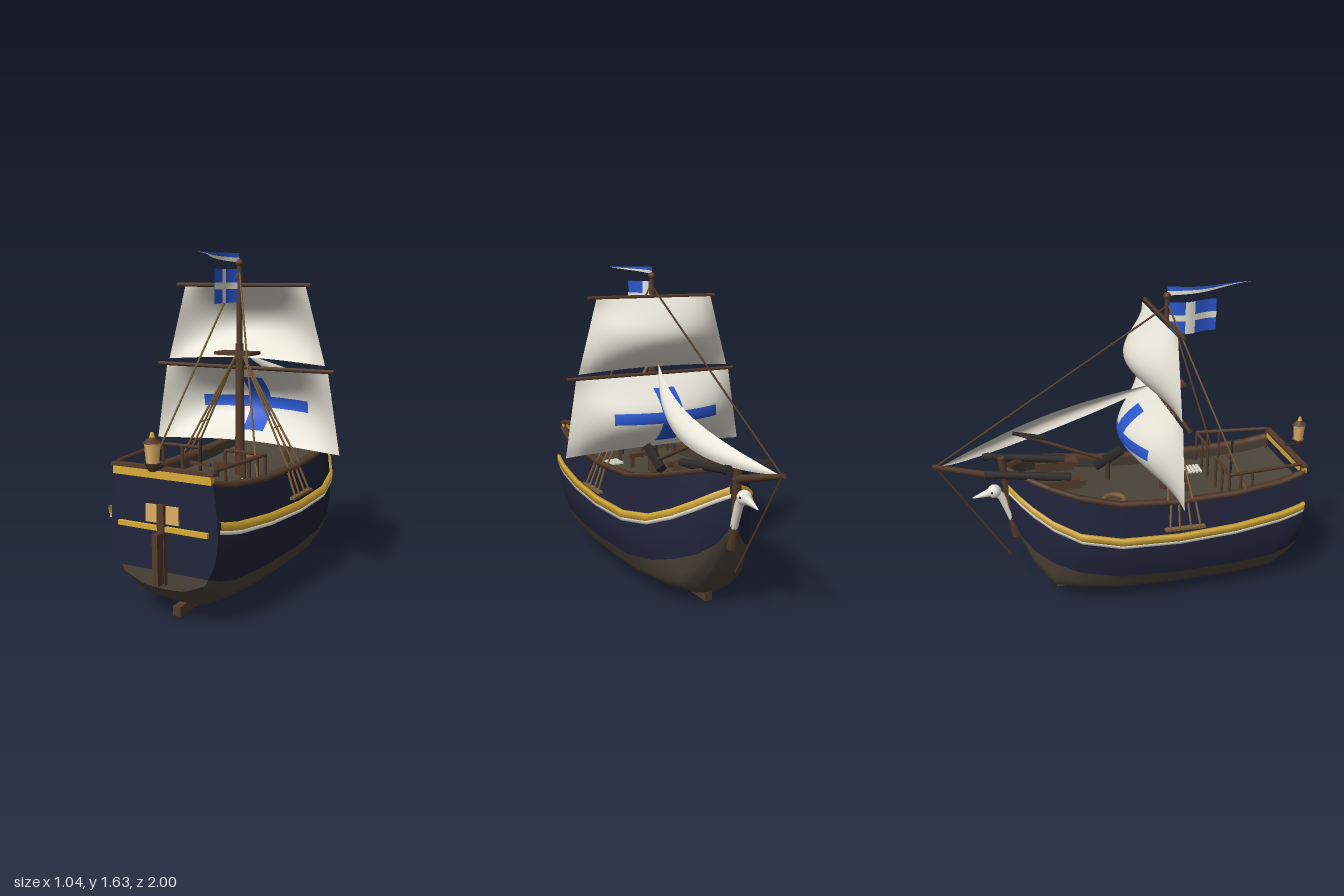
import * as THREE from 'three';

const mat = (name, color) => {
  const m = new THREE.MeshStandardMaterial({ color, side: THREE.DoubleSide });
  m.name = name;
  return m;
};
const M = {
  navy: mat('navy paint', 0x22243c), tar: mat('tarred planks', 0x4c443a), wood: mat('dark wood', 0x543b2b),
  rope: mat('rope', 0x7d5f3a), gold: mat('gold trim', 0xd9ac35), sail: mat('sailcloth', 0xe6e2d6),
  blue: mat('blue cloth', 0x2b58d0), lamp: mat('lamp glass', 0xdfae66), iron: mat('iron', 0x2d2b2a),
};

// Hull stations from stern to bow: z, keel y, sheer y, half breadth, waterline y, wale y
const ST = [
  [0.895, 0.16, 0.665, 0.275, 0.24, 0.485], [0.84, 0.10, 0.65, 0.285, 0.22, 0.47], [0.75, 0.05, 0.63, 0.298, 0.2, 0.452],
  [0.5, 0.04, 0.607, 0.322, 0.19, 0.428], [0.2, 0.04, 0.60, 0.332, 0.19, 0.415], [-0.1, 0.04, 0.615, 0.324, 0.20, 0.42],
  [-0.3, 0.045, 0.655, 0.285, 0.23, 0.452], [-0.43, 0.06, 0.69, 0.222, 0.27, 0.505], [-0.52, 0.19, 0.715, 0.152, 0.31, 0.558],
  [-0.58, 0.33, 0.73, 0.09, 0.37, 0.6], [-0.63, 0.45, 0.74, 0.015, 0.47, 0.635],
];
// Cross-section: height fraction, breadth fraction
const SEC = [[0, 0], [0.012, 0.38], [0.1, 0.76], [0.28, 0.93], [0.46, 1], [0.64, 1], [1, 0.92]];

function lookup(table, key, col, dir) {
  for (let i = 1; i < table.length; i++) {
    const a = table[i - 1], b = table[i];
    if ((b[0] - key) * dir >= 0 || i === table.length - 1) {
      const t = THREE.MathUtils.clamp((key - a[0]) / (b[0] - a[0]), 0, 1);
      return a[col] + (b[col] - a[col]) * t;
    }
  }
}
const at = (z, col) => lookup(ST, z, col, -1);
const half = (z, y) => at(z, 3) * lookup(SEC, (y - at(z, 1)) / (at(z, 2) - at(z, 1)), 1, 1);
const zAt = (u) => { // even steps through the stations
  const k = Math.min(u * (ST.length - 1), ST.length - 1.000001), i = Math.floor(k);
  return ST[i][0] + (ST[i + 1][0] - ST[i][0]) * (k - i);
};

export function createModel() {
  const ship = new THREE.Group();
  ship.name = 'sailingShip';
  const V = (x, y, z) => new THREE.Vector3(x, y, z);
  const add = (name, geo, m, x = 0, y = 0, z = 0) => {
    const mesh = new THREE.Mesh(geo, m);
    mesh.name = name;
    mesh.position.set(x, y, z);
    ship.add(mesh);
    return mesh;
  };
  const box = (name, m, w, h, d, x, y, z) => add(name, new THREE.BoxGeometry(w, h, d), m, x, y, z);
  const rod = (name, m, a, b, r0, r1 = r0, sides = 8) => {
    const d = b.clone().sub(a);
    const mesh = add(name, new THREE.CylinderGeometry(r1, r0, d.length(), sides), m);
    mesh.position.copy(a).addScaledVector(d, 0.5);
    mesh.quaternion.setFromUnitVectors(V(0, 1, 0), d.normalize());
    return mesh;
  };
  // Grid surface from f(u, v) with u and v in 0..1
  const surf = (name, m, nu, nv, f) => {
    const p = [], idx = [];
    for (let i = 0; i <= nu; i++) for (let j = 0; j <= nv; j++) p.push(...f(i / nu, j / nv));
    for (let i = 0; i < nu; i++) for (let j = 0; j < nv; j++) {
      const a = i * (nv + 1) + j, b = a + nv + 1;
      idx.push(a, b, a + 1, b, b + 1, a + 1);
    }
    const g = new THREE.BufferGeometry();
    g.setAttribute('position', new THREE.Float32BufferAttribute(p, 3));
    g.setIndex(idx);
    g.computeVertexNormals();
    return add(name, g, m);
  };
  const lerp = THREE.MathUtils.lerp, bump = (t) => Math.sin(Math.PI * t);

  // Hull
  surf('lowerHull', M.tar, 30, 16, (u, v) => {
    const z = zAt(u), s = v * 2 - 1, y = lerp(at(z, 1), at(z, 4), s * s);
    return [Math.sign(s) * half(z, y), y, z];
  });
  const zS = 0.895;
  for (const [name, m, c0, c1] of [['lowerTransom', M.tar, 1, 4], ['upperTransom', M.navy, 4, 2]])
    surf(name, m, 8, 2, (u, v) => {
      const y = lerp(at(zS, c0), at(zS, c1), u);
      return [(v * 2 - 1) * half(zS, y), y, zS];
    });
  const deckY = (z) => at(z, 2) - 0.07;
  surf('deck', M.tar, 30, 2, (u, v) => {
    const z = zAt(u), y = deckY(z);
    return [(v * 2 - 1) * half(z, y), y, z];
  });
  box('keel', M.wood, 0.04, 0.045, 1.2, 0, 0.0225, 0.2);
  for (const s of [1, -1]) {
    surf('hullSide', M.navy, 30, 8, (u, v) => {
      const z = zAt(u), y = lerp(at(z, 4), at(z, 2), v);
      return [s * half(z, y), y, z];
    });
    surf('innerBulwark', M.tar, 30, 1, (u, v) => {
      const z = zAt(u), y = lerp(deckY(z), at(z, 2), v);
      return [s * Math.max(half(z, y) - 0.008, 0), y, z];
    });
    // Strips running along the side: inner and outer offsets, centre and half height
    const strip = (name, m, col, dy, x0, x1, h) => surf(name, m, 30, 4, (u, v) => {
      const z = zAt(u), y = at(z, col) + dy, k = Math.round(v * 4) % 4;
      return [s * Math.max(half(z, y) + (k === 1 || k === 2 ? x1 : x0), 0), y + (k > 1 ? h : -h), z];
    });
    strip('wale', M.gold, 5, 0, -0.01, 0.016, 0.018);
    strip('paleStripe', M.sail, 5, -0.027, -0.01, 0.01, 0.009);
    strip('capRail', M.wood, 2, 0, -0.025, 0.008, 0.012);

    // Channels, their struts and the shrouds above
    box('channel', M.rope, 0.025, 0.012, 0.21, s * 0.35, 0.475, 0.22);
    for (const z of [0.14, 0.19, 0.25, 0.3])
      rod('channelStrut', M.rope, V(s * 0.305, 0.6, lerp(z, 0.22, 0.2)), V(s * 0.355, 0.475, z), 0.006, 0.006, 5);
    for (const z of [0.14, 0.2, 0.27])
      rod('shroud', M.rope, V(s * 0.015, 1.14, 0.2), V(s * 0.305, 0.6, z), 0.0055, 0.0055, 5);
    for (const t of [0.25, 0.45, 0.65, 0.85])
      rod('ratline', M.rope, V(s * lerp(0.015, 0.305, t), 1.14 - 0.54 * t, 0.2 - 0.06 * t),
        V(s * lerp(0.015, 0.305, t), 1.14 - 0.54 * t, 0.2 + 0.07 * t), 0.003, 0.003, 4);
    rod('backstay', M.rope, V(0, 1.55, 0.2), V(s * 0.285, 0.62, 0.56), 0.005, 0.005, 5);

    // Quarterdeck railing
    rod('sternRail', M.wood, V(s * 0.24, 0.71, 0.88), V(s * 0.28, 0.71, 0.47), 0.01, 0.01, 6);
    rod('crossRail', M.wood, V(s * 0.28, 0.71, 0.47), V(s * 0.07, 0.71, 0.47), 0.009, 0.009, 6);
    for (const [x, z] of [[0.24, 0.88], [0.265, 0.6], [0.272, 0.535], [0.28, 0.47], [0.07, 0.47], [0.17, 0.47]])
      rod('railPost', M.wood, V(s * x, 0.53, z), V(s * x, 0.71, z), 0.008, 0.008, 6);

    // Bow cannon
    rod('cannonBarrel', M.iron, V(s * 0.11, 0.705, -0.32), V(s * 0.11, 0.765, -0.73), 0.024, 0.018, 10);
    rod('cannonMuzzle', M.iron, V(s * 0.11, 0.762, -0.71), V(s * 0.11, 0.767, -0.745), 0.023, 0.023, 10);
    box('cannonCarriage', M.wood, 0.05, 0.05, 0.2, s * 0.11, 0.675, -0.37);
    box('cannonTail', M.wood, 0.1, 0.025, 0.03, s * 0.11, 0.69, -0.265);

    // Stern window
    box('sternWindow', M.lamp, 0.065, 0.08, 0.008, s * 0.052, 0.5, 0.9);
  }

  // Stern trim and rudder
  box('taffrail', M.gold, 0.5, 0.035, 0.03, 0, 0.675, 0.893);
  box('taffrailCap', M.wood, 0.52, 0.014, 0.035, 0, 0.7, 0.89);
  box('transomBand', M.gold, 0.46, 0.022, 0.02, 0, 0.437, 0.9);
  box('sternpost', M.wood, 0.035, 0.36, 0.025, 0, 0.365, 0.905);
  box('rudder', M.wood, 0.028, 0.23, 0.055, 0, 0.31, 0.935);

  // Stern lantern
  rod('lanternBracket', M.iron, V(0, 0.71, 0.89), V(0, 0.71, 0.965), 0.008);
  const lantern = (name, m, r0, r1, y0, y1) => rod(name, m, V(0, y0, 0.963), V(0, y1, 0.963), r0, r1, 6);
  lantern('lanternBase', M.wood, 0.018, 0.036, 0.705, 0.74);
  lantern('lanternGlass', M.lamp, 0.028, 0.035, 0.74, 0.825);
  lantern('lanternCap', M.wood, 0.041, 0.014, 0.825, 0.85);
  lantern('lanternFinial', M.gold, 0.013, 0.006, 0.85, 0.872);

  // Mast, platform and yards
  rod('lowerMast', M.wood, V(0, 0.5, 0.2), V(0, 1.19, 0.2), 0.025, 0.02, 12);
  rod('topmast', M.wood, V(0, 1.15, 0.2), V(0, 1.58, 0.2), 0.016, 0.012, 10);
  add('mastBall', new THREE.SphereGeometry(0.02, 12, 8), M.wood, 0, 1.58, 0.2);
  box('lookoutPlatform', M.wood, 0.2, 0.016, 0.11, 0, 1.145, 0.225);
  rod('lowerYard', M.wood, V(-0.495, 1.07, 0.18), V(0.495, 1.07, 0.18), 0.01);
  rod('upperYard', M.wood, V(-0.37, 1.475, 0.18), V(0.37, 1.475, 0.18), 0.01);

  // Square sails bellying toward the bow
  const sailZ = (x, y, s) => {
    const v = (s.top - y) / (s.top - s.bottom), w = lerp(s.wTop, s.wBottom, v);
    return 0.16 - s.depth * bump(v) * (1 - (x / w) ** 2);
  };
  const lower = { top: 1.065, bottom: 0.67, wTop: 0.455, wBottom: 0.52, depth: 0.2 };
  const upper = { top: 1.47, bottom: 1.095, wTop: 0.335, wBottom: 0.44, depth: 0.17 };
  for (const [name, s] of [['lowerSail', lower], ['upperSail', upper]])
    surf(name, M.sail, 20, 16, (u, v) => {
      const y = lerp(s.top, s.bottom, v) + 0.02 * v ** 4 * bump(u), x = (u * 2 - 1) * lerp(s.wTop, s.wBottom, v);
      return [x, y, sailZ(x, y, s)];
    });
  for (const off of [-0.004, 0.004])
    for (const [w, y0, y1] of [[0.06, 0.735, 1.01], [0.3, 0.842, 0.9]])
      surf('sailCross', M.blue, 16, 10, (u, v) => {
        const x = (u * 2 - 1) * w, y = lerp(y0, y1, v);
        return [x, y, sailZ(x, y, lower) + off];
      });

  // Headsail
  surf('headsail', M.sail, 24, 8, (u, v) => {
    const b = bump(u);
    return [b * lerp(0.12, 0.17, v) + 0.03 * b * bump(v), lerp(1.13, 0.785, u) - 0.115 * v * b ** 0.8, lerp(0.13, -0.95, u)];
  });

  // Flag and pennant streaming aft
  const flag = (name, m, z0, z1, y0, y1, off) => surf(name, m, 14, 1, (u, v) => {
    const z = lerp(z0, z1, u), t = (z - 0.2) / 0.26;
    return [-0.025 * Math.sin(t * 5) - 0.012 * t + off, lerp(y0, y1, v), z];
  });
  flag('flag', M.blue, 0.2, 0.46, 1.39, 1.55, 0);
  for (const off of [-0.003, 0.003]) {
    flag('flagCrossUpright', M.sail, 0.287, 0.34, 1.39, 1.55, off);
    flag('flagCrossBar', M.sail, 0.2, 0.46, 1.455, 1.487, off);
  }
  for (const [name, m, a, b] of [['pennantTop', M.blue, 1.605, 1.628], ['pennantBottom', M.sail, 1.582, 1.605]])
    surf(name, m, 16, 1, (u, v) => [-0.035 * Math.sin(u * 5), lerp(lerp(a, b, v), 1.622, u), 0.2 + 0.45 * u]);

  // Bowsprit, stem and forward rigging
  rod('bowsprit', M.wood, V(0, 0.62, -0.4), V(0, 0.787, -0.995), 0.026, 0.012, 10);
  rod('stemPost', M.wood, V(0, 0.34, -0.6), V(0, 0.8, -0.655), 0.024, 0.02, 6);
  rod('forestay', M.wood, V(0, 1.53, 0.2), V(0, 0.785, -0.98), 0.005, 0.005, 5);
  rod('bobstay', M.wood, V(0, 0.78, -0.98), V(0, 0.235, -0.64), 0.005, 0.005, 5);

  // Bird figurehead
  const neck = new THREE.CatmullRomCurve3([V(0, 0.45, -0.615), V(0, 0.52, -0.64), V(0, 0.58, -0.665), V(0, 0.615, -0.7)]);
  add('birdNeck', new THREE.TubeGeometry(neck, 12, 0.022, 8), M.sail);
  add('birdHead', new THREE.SphereGeometry(0.036, 12, 10), M.sail, 0, 0.615, -0.7);
  rod('birdBeak', M.sail, V(0, 0.612, -0.72), V(0, 0.588, -0.812), 0.024, 0.003);
  for (const s of [1, -1]) add('birdEye', new THREE.SphereGeometry(0.006, 6, 5), M.iron, s * 0.033, 0.622, -0.714);

  // Deck fittings
  rod('helmStaff', M.iron, V(0, 0.54, 0.58), V(0, 0.775, 0.58), 0.007);
  box('helmBar', M.wood, 0.11, 0.015, 0.015, 0, 0.66, 0.58);
  box('fifeRail', M.wood, 0.17, 0.02, 0.025, 0, 0.6, 0.31);
  for (const s of [1, -1]) box('fifePost', M.wood, 0.018, 0.08, 0.018, s * 0.07, 0.56, 0.31);
  for (let i = 0; i < 5; i++) box('hatchSlat', M.sail, 0.09, 0.01, 0.012, 0.145, 0.55, 0.365 + i * 0.02);
  const coil = add('ropeCoil', new THREE.TorusGeometry(0.055, 0.014, 6, 10), M.rope, -0.13, 0.56, -0.1);
  coil.rotation.x = Math.PI / 2;
  rod('deckGun', M.iron, V(0.13, 0.72, 0), V(0.13, 0.635, -0.15), 0.03, 0.03, 4);
  rod('boom', M.wood, V(0.13, 0.66, -0.07), V(0.11, 0.87, -0.55), 0.01);
  rod('boomHead', M.iron, V(0.12, 0.835, -0.42), V(0.11, 0.88, -0.58), 0.014, 0.01, 6);
  rod('boomPost', M.wood, V(0.13, 0.55, -0.08), V(0.13, 0.68, -0.08), 0.014);
  return ship;
}
